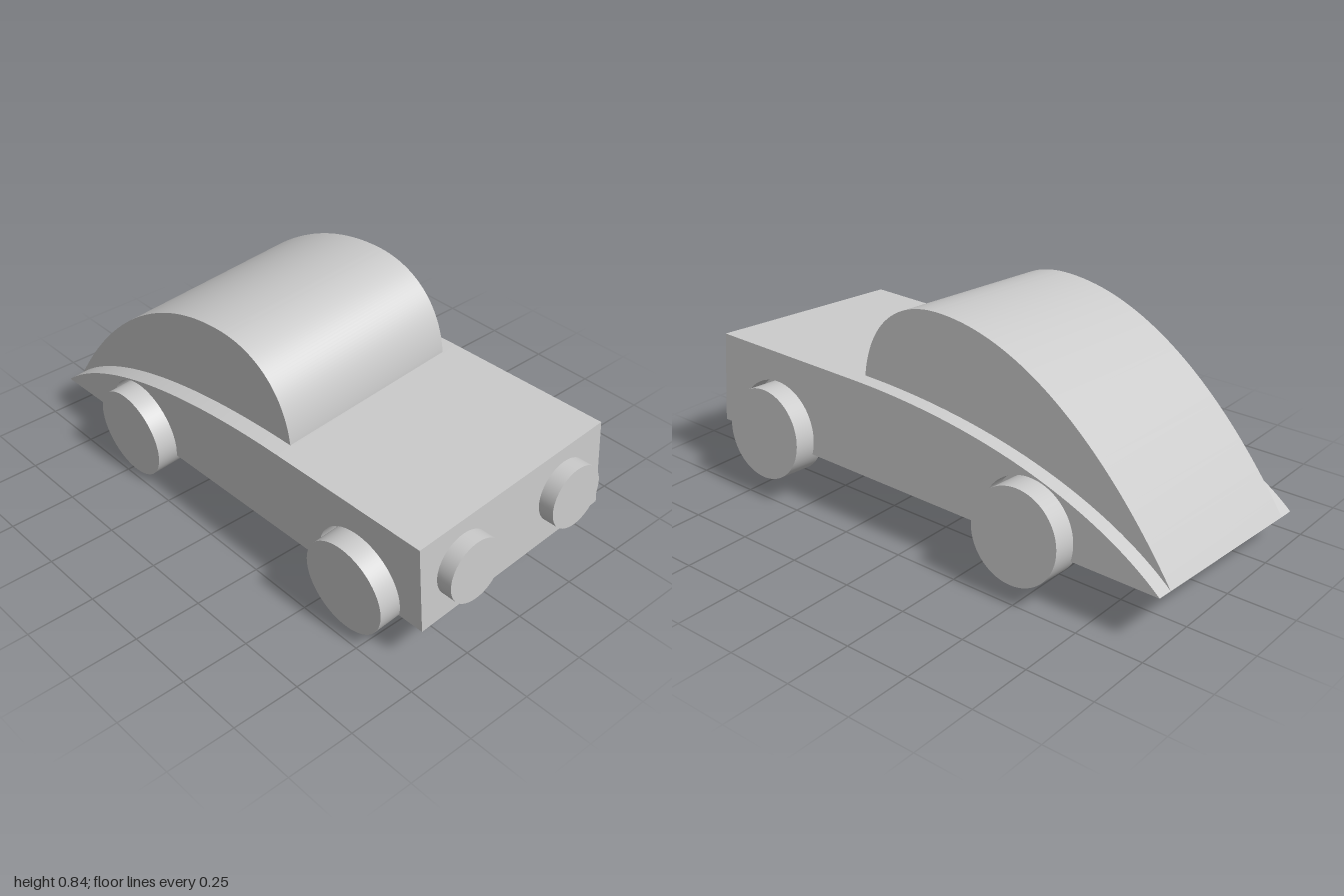
import * as THREE from 'three';
import { toCreasedNormals } from 'three/addons/utils/BufferGeometryUtils.js';

const material = new THREE.MeshStandardMaterial({ color: 0xcccccc });
const WHEEL_Z = [0.66, -0.485];
const WHEEL_Y = 0.045;
const WELL_R = 0.185;

// Side profiles are drawn as (z, y) and extruded across the car between x0 and x1
function slab(name, shape, x0, x1) {
  const geo = new THREE.ExtrudeGeometry(shape, { depth: x1 - x0, bevelEnabled: false, curveSegments: 40 });
  geo.rotateY(-Math.PI / 2).translate(x1, 0, 0);
  const mesh = new THREE.Mesh(toCreasedNormals(geo, 0.5), material);
  mesh.name = name;
  return mesh;
}

function disc(name, radius, depth) {
  const mesh = new THREE.Mesh(new THREE.CylinderGeometry(radius, radius, depth, 64), material);
  mesh.name = name;
  return mesh;
}

// Flat bonnet line sweeping down to a pointed tail
function bodyShape(withWells) {
  const s = new THREE.Shape();
  s.moveTo(0.94, 0);
  s.lineTo(0.94, 0.341);
  s.lineTo(0.3, 0.341);
  s.bezierCurveTo(-0.3, 0.341, -0.75, 0.2, -0.995, 0);
  if (withWells) {
    const a = Math.asin(WHEEL_Y / WELL_R);
    for (const z of [...WHEEL_Z].reverse()) {
      s.absarc(z, WHEEL_Y, WELL_R, Math.PI + a, -a, true);
    }
  }
  s.closePath();
  return s;
}

export function createModel() {
  const car = new THREE.Group();
  car.name = 'car';

  // Body: full-length core plus side panels with wheel wells
  car.add(slab('bodyCore', bodyShape(false), -0.35, 0.35));
  car.add(slab('leftSidePanel', bodyShape(true), 0.35, 0.42));
  car.add(slab('rightSidePanel', bodyShape(true), -0.42, -0.35));

  // Cabin: rounded nose and a long fastback
  const cabin = new THREE.Shape();
  cabin.moveTo(0.29, 0.2);
  cabin.lineTo(0.29, 0.345);
  cabin.bezierCurveTo(0.28, 0.54, 0.16, 0.647, -0.02, 0.647);
  cabin.bezierCurveTo(-0.39, 0.647, -0.74, 0.35, -0.995, 0);
  cabin.closePath();
  car.add(slab('cabin', cabin, -0.357, 0.357));

  for (const side of [1, -1]) {
    const label = side > 0 ? 'Left' : 'Right';
    // Wheels
    WHEEL_Z.forEach((z, i) => {
      const wheel = disc((i ? 'rear' : 'front') + label + 'Wheel', 0.171, 0.13);
      wheel.rotation.z = Math.PI / 2;
      wheel.position.set(side * 0.425, WHEEL_Y, z);
      car.add(wheel);
    });
    // Headlights
    const lamp = disc('headlight' + label, 0.115, 0.065);
    lamp.rotation.x = Math.PI / 2;
    lamp.position.set(side * 0.235, 0.17, 0.965);
    car.add(lamp);
  }

  // The whole car leans slightly to its right
  car.rotation.set(-0.014, 0.007, 0.074, 'YXZ');
  car.position.set(0.007, 0.172, 0);

  const model = new THREE.Group();
  model.name = 'model';
  model.add(car);
  return model;
}
